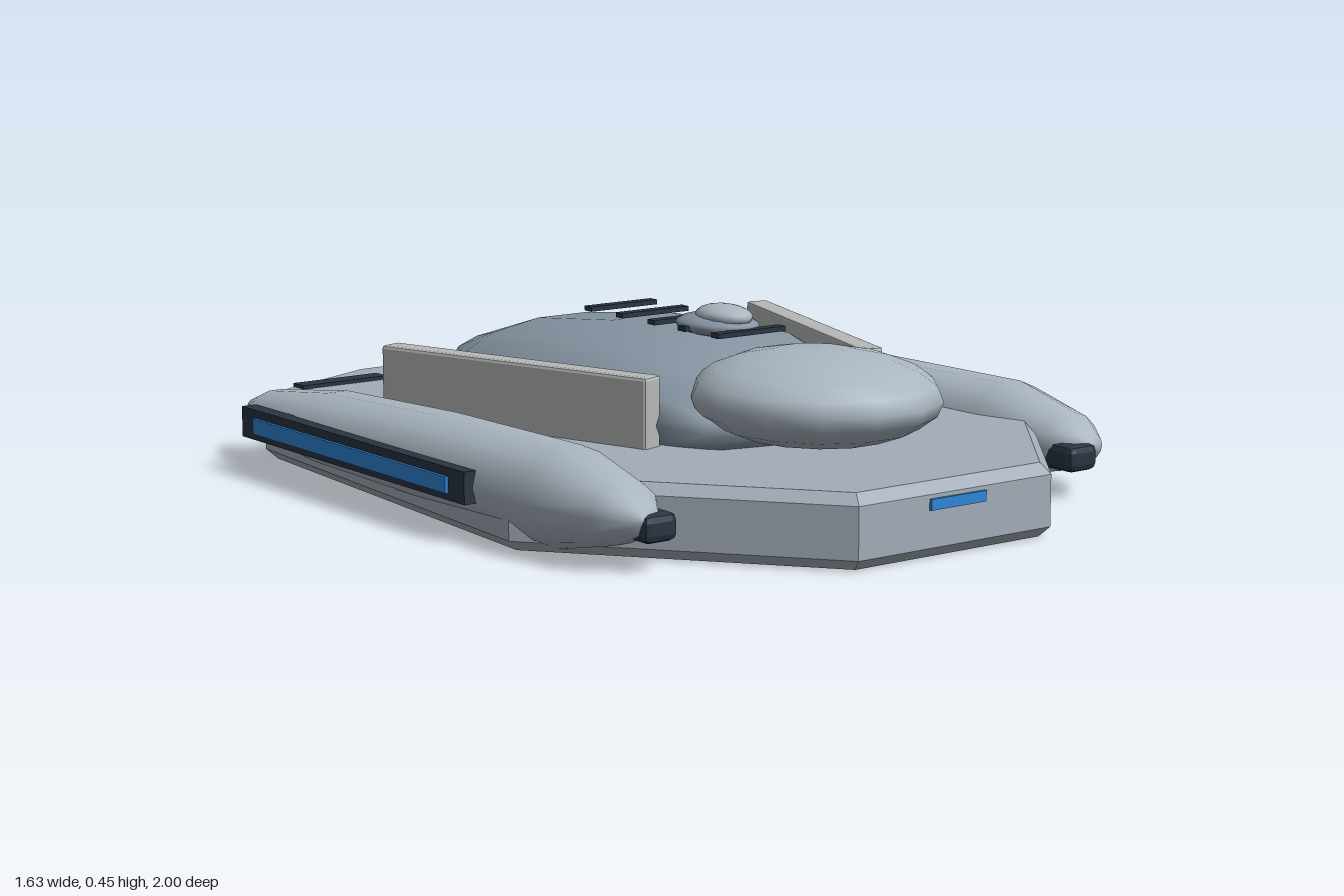
import * as THREE from 'three';
import { RoundedBoxGeometry } from 'three/addons/geometries/RoundedBoxGeometry.js';

const paint = (color, flatShading = false) => {
  const m = new THREE.MeshStandardMaterial({ color });
  m.flatShading = flatShading;
  return m;
};
const HULL = paint(0xa3adb8, true);
const SHELL = paint(0x8695a3);
const POD = paint(0xaab6c1);
const FIN = paint(0xb6b9b8, true);
const DARK = paint(0x2a3442, true);
const BLUE = paint(0x2f86d8);

// Loft of elliptical rings along z; each ring is [z, centreY, halfWidth, halfHeight]
function loft(rings, sides) {
  const pos = [], index = [];
  for (const [z, cy, hx, hy] of rings) {
    for (let i = 0; i < sides; i++) {
      const a = (i / sides) * Math.PI * 2;
      pos.push(Math.cos(a) * hx, cy + Math.sin(a) * hy, z);
    }
  }
  for (let j = 0; j < rings.length - 1; j++) {
    for (let i = 0; i < sides; i++) {
      const k = (i + 1) % sides;
      const a = j * sides + i, b = j * sides + k, c = b + sides, d = a + sides;
      index.push(a, b, d, b, c, d);
    }
  }
  const g = new THREE.BufferGeometry();
  g.setAttribute('position', new THREE.Float32BufferAttribute(pos, 3));
  g.setIndex(index);
  g.computeVertexNormals();
  return g;
}

export function createModel() {
  const group = new THREE.Group();

  const add = (name, geometry, material, x = 0, y = 0, z = 0) => {
    const mesh = new THREE.Mesh(geometry, material);
    mesh.name = name;
    mesh.position.set(x, y, z);
    group.add(mesh);
    return mesh;
  };
  const box = (name, material, w, h, d, x, y, z) =>
    add(name, new THREE.BoxGeometry(w, h, d), material, x, y, z);
  const ellipsoid = (name, material, rx, ry, rz, x, y, z, w = 16, h = 10) =>
    add(name, new THREE.SphereGeometry(1, w, h).scale(rx, ry, rz), material, x, y, z);

  // Hull: bevelled eight-sided slab
  const half = [[0.28, 0.99], [0.77, 0.38], [0.68, -0.84], [0.32, -1]];
  const outline = [...half, ...half.map(([x, z]) => [-x, z]).reverse()];
  const hull = new THREE.ExtrudeGeometry(
    new THREE.Shape(outline.map(([x, z]) => new THREE.Vector2(x, -z)).reverse()),
    { depth: 0.12, bevelThickness: 0.025, bevelSize: 0.025, bevelOffset: -0.025, bevelSegments: 1 }
  );
  hull.rotateX(-Math.PI / 2);
  add('hull', hull, HULL, 0, 0.025, 0);
  box('frontLight', BLUE, 0.16, 0.025, 0.02, 0, 0.123, 0.987);

  // Central shell and rounded cockpit
  add('shell', loft([
    [-0.815, 0.23, 0, 0],
    [-0.72, 0.225, 0.2, 0.06],
    [-0.51, 0.22, 0.34, 0.125],
    [-0.17, 0.22, 0.415, 0.165],
    [0.1, 0.22, 0.385, 0.17],
    [0.3, 0.22, 0.32, 0.125],
    [0.43, 0.21, 0.27, 0.07],
    [0.5, 0.2, 0, 0],
  ], 14), SHELL);
  ellipsoid('cockpit', POD, 0.285, 0.112, 0.31, 0, 0.283, 0.5, 14, 10);

  // Spine slats and turret
  for (const z of [0.25, 0.12, 0, -0.13, -0.26]) {
    box('spineSlat', DARK, 0.2, 0.012, 0.028, 0, 0.398, z);
  }
  ellipsoid('turretBase', SHELL, 0.088, 0.028, 0.12, 0, 0.402, 0.13);
  ellipsoid('turretDome', FIN, 0.058, 0.028, 0.085, 0, 0.425, 0.155).material = POD;

  // Mirrored side parts
  const podShape = loft([
    [-0.94, 0.12, 0, 0],
    [-0.925, 0.12, 0.028, 0.02],
    [-0.83, 0.12, 0.08, 0.055],
    [-0.53, 0.125, 0.13, 0.09],
    [-0.05, 0.13, 0.132, 0.105],
    [0.45, 0.122, 0.13, 0.117],
    [0.65, 0.12, 0.095, 0.07],
    [0.72, 0.118, 0.045, 0.035],
    [0.735, 0.118, 0, 0],
  ], 14);
  for (const s of [1, -1]) {
    const side = s > 0 ? 'left' : 'right';
    add(side + 'Pod', podShape, POD, s * 0.655, 0, 0);
    box(side + 'LightFrame', DARK, 0.04, 0.075, 0.99, s * 0.787, 0.127, -0.235);
    box(side + 'LightStrip', BLUE, 0.03, 0.038, 0.86, s * 0.8, 0.125, -0.235);
    add(side + 'Nozzle', new RoundedBoxGeometry(0.09, 0.065, 0.16, 1, 0.018),
      DARK, s * 0.62, 0.098, 0.665);
    box(side + 'RearVent', DARK, 0.245, 0.014, 0.05, s * 0.463, 0.172, -0.835);
    // Angled fin, converging towards the front
    const fin = add(side + 'Fin', new RoundedBoxGeometry(0.06, 0.18, 0.785, 1, 0.008),
      FIN, s * 0.445, 0.245, -0.06);
    fin.rotation.y = -s * 0.31;
  }
  return group;
}
